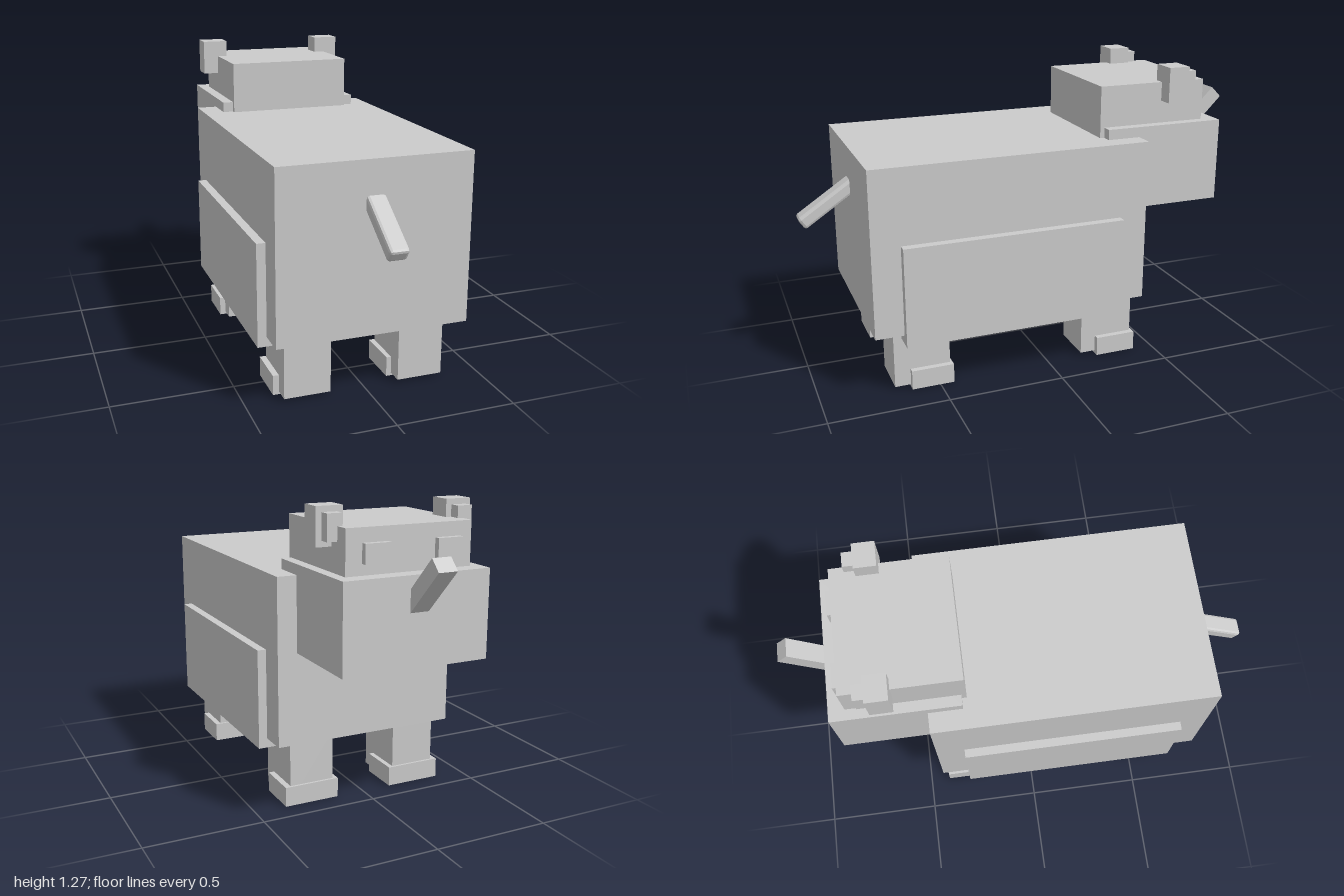
import * as THREE from 'three';
import { RoundedBoxGeometry } from 'three/addons/geometries/RoundedBoxGeometry.js';

export function createModel() {
  const model = new THREE.Group();
  const material = new THREE.MeshStandardMaterial({ color: 0xcccccc, flatShading: true });

  const add = (name, geometry) => {
    const mesh = new THREE.Mesh(geometry, material);
    mesh.name = name;
    model.add(mesh);
    return mesh;
  };

  // Box given by its limits on each axis
  const block = (name, [x0, x1], [y0, y1], [z0, z1]) => {
    const mesh = add(name, new THREE.BoxGeometry(x1 - x0, y1 - y0, z1 - z0));
    mesh.position.set((x0 + x1) / 2, (y0 + y1) / 2, (z0 + z1) / 2);
    return mesh;
  };

  // The same box on both sides, mirrored about the slightly offset middle
  const mid = -0.003;
  const pair = (name, [x0, x1], y, z, middle = mid) => {
    block(name + 'Left', [middle + x0, middle + x1], y, z);
    block(name + 'Right', [middle - x1, middle - x0], y, z);
  };

  // Body, and the wider armour wrapped around its lower half
  block('body', [-0.403, 0.4], [0.275, 0.982], [-0.425, 0.775]);
  block('flankArmour', [-0.44, 0.437], [0.235, 0.66], [-0.303, 0.655]);

  // Head, turned to -z
  block('muzzle', [-0.316, 0.316], [0.665, 1.026], [-0.82, -0.28]);
  block('skull', [-0.27, 0.272], [0.9, 1.204], [-0.752, -0.26]);
  pair('eye', [0.102, 0.21], [1.07, 1.147], [-0.777, -0.74], -0.007);
  pair('ear', [0.226, 0.337], [1.123, 1.275], [-0.642, -0.548], 0);
  pair('innerEar', [0.25, 0.314], [1.147, 1.252], [-0.688, -0.63], 0);

  // Legs, each with a foot set towards the head
  for (const [end, z] of [['front', -0.41], ['back', 0.44]]) {
    pair(end + 'Leg', [0.147, 0.342], [0.015, 0.3], [z + 0.01, z + 0.25]);
    pair(end + 'Foot', [0.126, 0.367], [0.003, 0.087], [z, z + 0.182]);
  }

  // Horn rising from the muzzle at 45 degrees
  const horn = add('horn', new THREE.BoxGeometry(0.08, 0.065, 0.32));
  horn.position.set(-0.005, 0.974, -0.865);
  horn.rotation.x = Math.PI / 4;

  // Tail sloping down, with softened edges
  const tail = add('tail', new RoundedBoxGeometry(0.08, 0.058, 0.36, 1, 0.012));
  tail.position.set(-0.005, 0.768, 0.833);
  tail.rotation.x = 0.588;

  return model;
}
